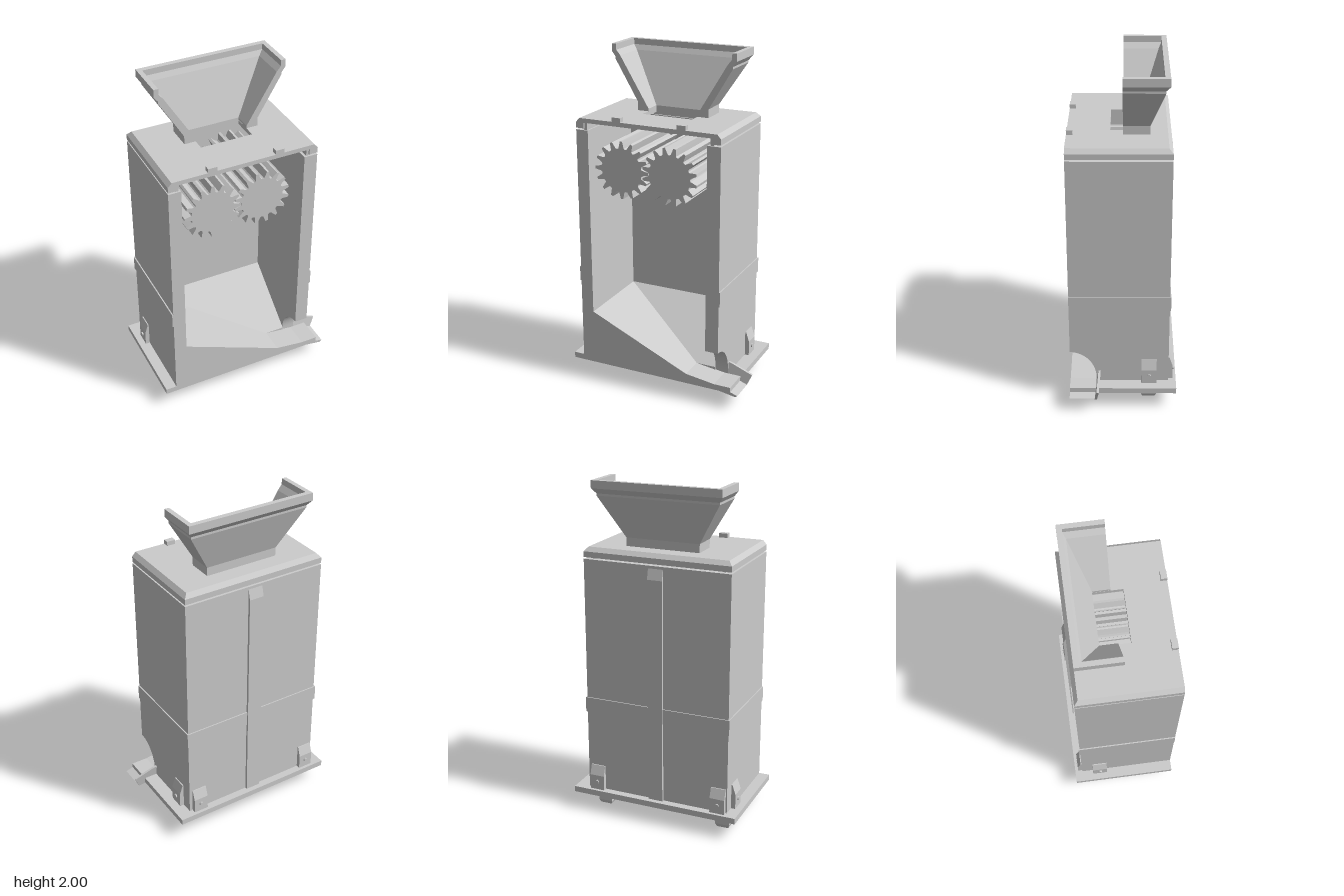
import * as THREE from 'three';

const mat = new THREE.MeshStandardMaterial({ color: 0xcccccc, flatShading: true });
const matBoth = new THREE.MeshStandardMaterial({ color: 0xcccccc, flatShading: true, side: THREE.DoubleSide });

export function createModel() {
  const root = new THREE.Group();
  const add = (name, geo, parent = root, material = mat) => {
    const m = new THREE.Mesh(geo, material);
    m.name = name;
    parent.add(m);
    return m;
  };
  // box given by its limits
  const box = (name, x0, x1, y0, y1, z0, z1) =>
    add(name, new THREE.BoxGeometry(x1 - x0, y1 - y0, z1 - z0)
      .translate((x0 + x1) / 2, (y0 + y1) / 2, (z0 + z1) / 2));
  const poly = pts => new THREE.Shape(pts.map(p => new THREE.Vector2(p[0], p[1])));
  // x-y outline extruded from z0 to z1
  const alongZ = (shape, z0, z1) =>
    new THREE.ExtrudeGeometry(shape, { depth: z1 - z0, bevelEnabled: false, curveSegments: 12 }).translate(0, 0, z0);
  // (-z)-y outline extruded from x0 to x1
  const alongX = (shape, x0, x1) =>
    new THREE.ExtrudeGeometry(shape, { depth: x1 - x0, bevelEnabled: false, curveSegments: 12 })
      .rotateY(Math.PI / 2).translate(x0, 0, 0);
  const bend = (geo, rule) => {
    const p = geo.attributes.position, v = new THREE.Vector3();
    for (let i = 0; i < p.count; i++) {
      v.fromBufferAttribute(p, i);
      rule(v);
      p.setXYZ(i, v.x, v.y, v.z);
    }
    geo.computeVertexNormals();
    return geo;
  };

  // housing, open at the front
  box('basePlate', -0.555, 0.48, 0.105, 0.14, -0.315, 0.31);
  box('leftWall', -0.49, -0.415, 0.11, 1.557, -0.27, 0.31);
  box('backWall', -0.415, 0.32, 0.11, 1.557, -0.27, -0.2);
  const side = poly([[0.27, 0.11], [0.27, 1.557], [-0.31, 1.557], [-0.31, 0.34]]);
  side.absellipse(-0.31, 0.165, 0.155, 0.175, Math.PI / 2, 0, true);
  side.lineTo(-0.155, 0.125);
  side.lineTo(-0.31, 0.125);
  side.lineTo(-0.31, 0.11);
  add('outletWall', alongX(side, 0.32, 0.40));

  // sloping floor that leads to the outlet
  add('sideRamp', alongZ(poly([[-0.415, 0.11], [0.40, 0.11], [0.40, 0.137], [0.2, 0.165], [-0.415, 0.44]]), -0.2, 0.31));
  add('backRamp', alongX(poly([[0.2, 0.11], [0.2, 0.44], [-0.16, 0.165], [-0.16, 0.11]]), -0.415, 0.32));

  // chute
  add('chuteFloor', alongZ(poly([[0.38, 0.11], [0.51, 0.088], [0.525, 0.098], [0.40, 0.137], [0.38, 0.14]]), 0.155, 0.31));
  add('chuteSide', bend(alongZ(poly([[0.395, 0.115], [0.52, 0.09], [0.55, 0.16], [0.42, 0.205], [0.395, 0.21]]), 0.148, 0.162),
    v => { v.z -= (v.y - 0.1) * 0.17; }));

  // raised belt and back rib
  box('beltBack', -0.497, 0.407, 0.63, 0.72, -0.277, -0.268);
  box('beltSideA', -0.497, -0.488, 0.63, 0.72, -0.27, 0.31);
  box('beltSideB', 0.398, 0.407, 0.63, 0.72, -0.27, 0.31);
  add('backRib', alongX(poly([[0.26, 0.14], [0.285, 0.14], [0.285, 1.48], [0.268, 1.55], [0.26, 1.55]]), -0.09, 0.0));

  // lid with chamfered edges and an inlet hole
  const plate = poly([[-0.49, -0.31], [0.40, -0.31], [0.40, 0.27], [-0.49, 0.27]]);
  plate.holes.push(poly([[-0.19, -0.07], [-0.19, 0.10], [0.12, 0.10], [0.12, -0.07]]));
  const top = new THREE.ExtrudeGeometry(plate, { depth: 0.025, bevelEnabled: false })
    .rotateX(-Math.PI / 2).translate(0, 1.6, 0);
  add('lidTop', bend(top, v => {
    if (v.y < 1.62) return;
    v.x = THREE.MathUtils.clamp(v.x, -0.468, 0.378);
    v.z = Math.max(v.z, -0.248);
  }));
  box('lidRimA', -0.49, -0.44, 1.567, 1.6, -0.27, 0.31);
  box('lidRimB', 0.35, 0.40, 1.567, 1.6, -0.27, 0.31);
  box('lidRimBack', -0.44, 0.35, 1.567, 1.6, -0.27, -0.22);
  box('lipA', -0.445, -0.425, 1.55, 1.6, -0.24, 0.30);
  box('lipB', 0.335, 0.355, 1.55, 1.6, -0.24, 0.30);
  box('lipBack', -0.44, 0.35, 1.55, 1.6, -0.23, -0.21);
  box('lidTabA', -0.26, -0.207, 1.62, 1.65, 0.275, 0.31);
  box('lidTabB', 0.14, 0.192, 1.62, 1.65, 0.275, 0.31);

  // hopper: one wall section [half width, back depth, y] carried round three sides
  const wall = [
    [0.223, 0.15, 1.623], [0.223, 0.15, 1.675], [0.365, 0.227, 1.912], [0.365, 0.227, 1.925], [0.388, 0.25, 1.955],
    [0.388, 0.25, 2.0], [0.36, 0.22, 2.0], [0.36, 0.22, 1.965], [0.335, 0.205, 1.935], [0.155, 0.10, 1.64], [0.155, 0.10, 1.623]];
  const cx = -0.034;
  const stations = [[-1, 0], [-1, 1], [1, 1], [1, 0]];
  const pos = [];
  const at = (i, j) => {
    const [h, d, y] = wall[i % wall.length];
    return [cx + stations[j][0] * h, y, -stations[j][1] * d];
  };
  for (let j = 0; j < 3; j++) {
    for (let i = 0; i < wall.length; i++) {
      const a = at(i, j), b = at(i + 1, j), c = at(i + 1, j + 1), d = at(i, j + 1);
      pos.push(...a, ...b, ...c, ...a, ...c, ...d);
    }
  }
  const hopperGeo = new THREE.BufferGeometry();
  hopperGeo.setAttribute('position', new THREE.Float32BufferAttribute(pos, 3));
  hopperGeo.computeVertexNormals();
  const hopper = new THREE.Group();
  hopper.name = 'hopper';
  root.add(hopper);
  add('hopperWalls', hopperGeo, hopper, matBoth);
  for (const s of [-1, 1]) {
    add('hopperCutEdge', new THREE.ShapeGeometry(poly(wall.map(w => [cx + s * w[0], w[2]]))), hopper, matBoth);
  }

  // pair of meshing toothed rollers
  const teeth = 16;
  const roller = (name, x, turn) => {
    const pts = [];
    const tooth = [[-0.5, 0.126], [-0.32, 0.13], [-0.2, 0.15], [-0.11, 0.169], [0.11, 0.169], [0.2, 0.15], [0.32, 0.13]];
    for (let k = 0; k < teeth; k++) {
      for (const [f, r] of tooth) {
        const a = ((k + f) / teeth) * Math.PI * 2 + turn;
        pts.push([x + r * Math.cos(a), 1.34 + r * Math.sin(a)]);
      }
    }
    add(name, alongZ(poly(pts), -0.205, 0.28));
  };
  roller('rollerA', -0.22, 0);
  roller('rollerB', 0.08, Math.PI / teeth);

  // feet, narrowed at the bottom
  for (const x of [-0.437, 0.33]) {
    const foot = new THREE.BoxGeometry(0.088, 0.107, 0.092, 1, 5, 1).translate(0, 0.0535, 0);
    add('foot', bend(foot, v => {
      if (v.y < 0.01) { v.x *= 0.8; v.z *= 0.8; }
    })).position.set(x, 0, -0.155);
  }

  // bolted brackets between base plate and housing
  const bracket = (x, z, turn) => {
    const g = new THREE.Group();
    g.name = 'bracket';
    add('bracketBlock', alongZ(poly([[-0.005, 0.135], [0.026, 0.135], [0.026, 0.23], [0.006, 0.29], [-0.005, 0.29]]), -0.045, 0.045), g);
    add('bolt', new THREE.CylinderGeometry(0.012, 0.012, 0.02, 12).rotateZ(Math.PI / 2).translate(0.024, 0.19, 0), g);
    g.position.set(x, 0, z);
    g.rotation.y = turn;
    root.add(g);
  };
  bracket(0.40, -0.155, 0);
  bracket(-0.49, -0.155, Math.PI);
  bracket(-0.437, -0.27, Math.PI / 2);
  bracket(0.335, -0.27, Math.PI / 2);

  return root;
}
